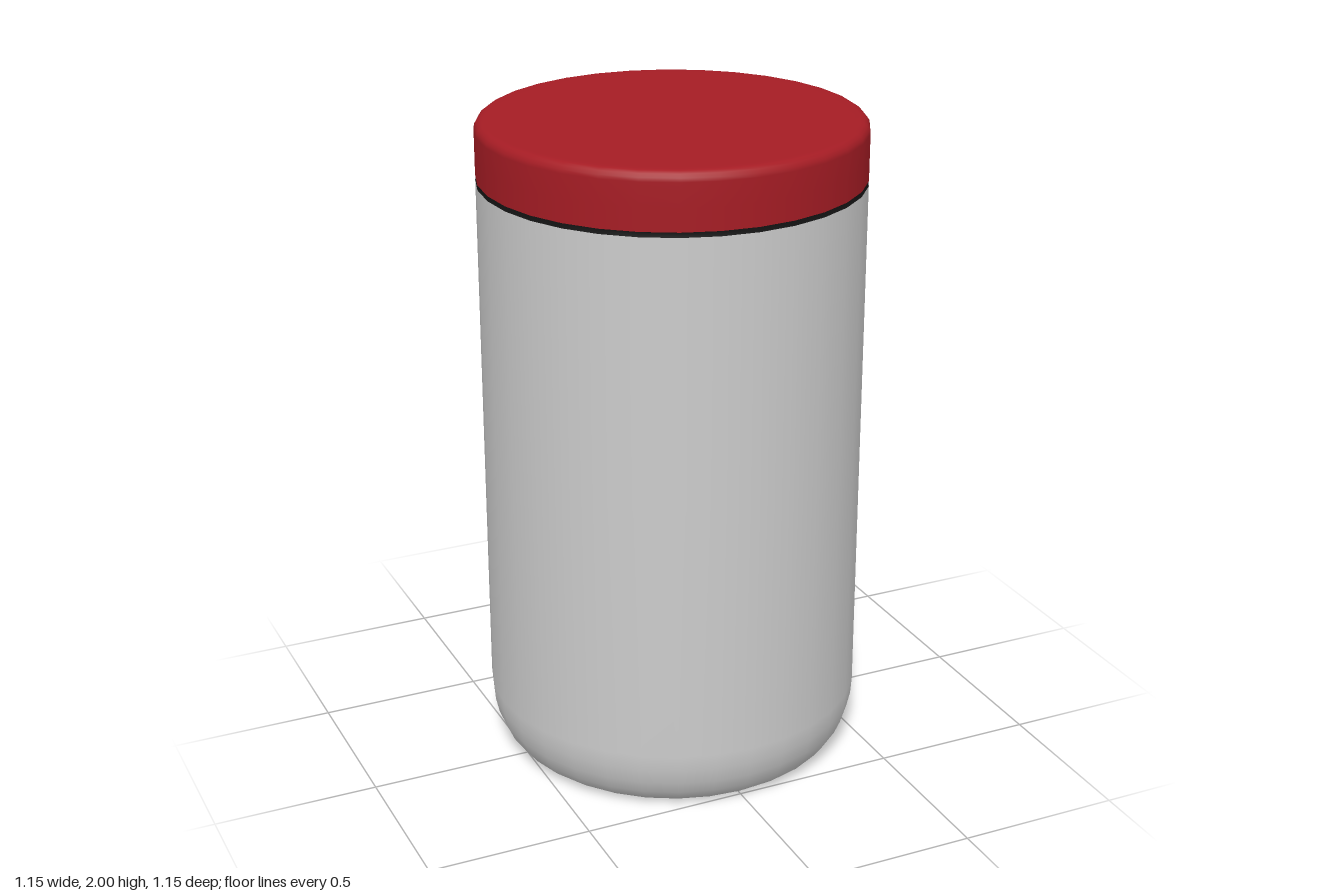
import * as THREE from 'three';

const SEGMENTS = 32;
const RADIUS = 0.575;

// Revolves a profile that runs from the bottom axis outward and up
function lathe(name, profile, color) {
  const points = profile.map(([r, y]) => new THREE.Vector2(r, y));
  const mesh = new THREE.Mesh(
    new THREE.LatheGeometry(points, SEGMENTS),
    new THREE.MeshStandardMaterial({ color, side: THREE.DoubleSide })
  );
  mesh.name = name;
  return mesh;
}

// Quarter ellipse points from the foot or wall around a rounded corner
function corner(cx, cy, rx, ry, from, to, steps) {
  return Array.from({ length: steps + 1 }, (_, i) => {
    const a = from + (to - from) * i / steps;
    return [cx + rx * Math.cos(a), cy + ry * Math.sin(a)];
  });
}

export function createModel() {
  const group = new THREE.Group();
  group.name = 'canister';

  // Body: recessed underside, rounded foot, straight wall
  group.add(lathe('body', [
    [0, 0.1], [0.2, 0.095], [0.34, 0.08], [0.42, 0.045], [0.455, 0.005], [0.465, 0],
    ...corner(RADIUS - 0.11, 0.2, 0.11, 0.2, -Math.PI / 2, 0, 6).slice(1),
    [RADIUS, 1], [RADIUS, 1.815]
  ], 0xcccccc));

  // Dark seam between body and lid
  group.add(lathe('seam', [
    [RADIUS, 1.815], [RADIUS - 0.002, 1.816], [RADIUS - 0.002, 1.829], [RADIUS, 1.83]
  ], 0x151515));

  // Lid: straight side, small rounded edge, flat top
  group.add(lathe('lid', [
    [RADIUS, 1.83], [RADIUS, 1.9],
    ...corner(RADIUS - 0.03, 1.97, 0.03, 0.03, 0, Math.PI / 2, 4),
    [RADIUS - 0.06, 2], [0, 2]
  ], 0xa51c24));

  return group;
}
